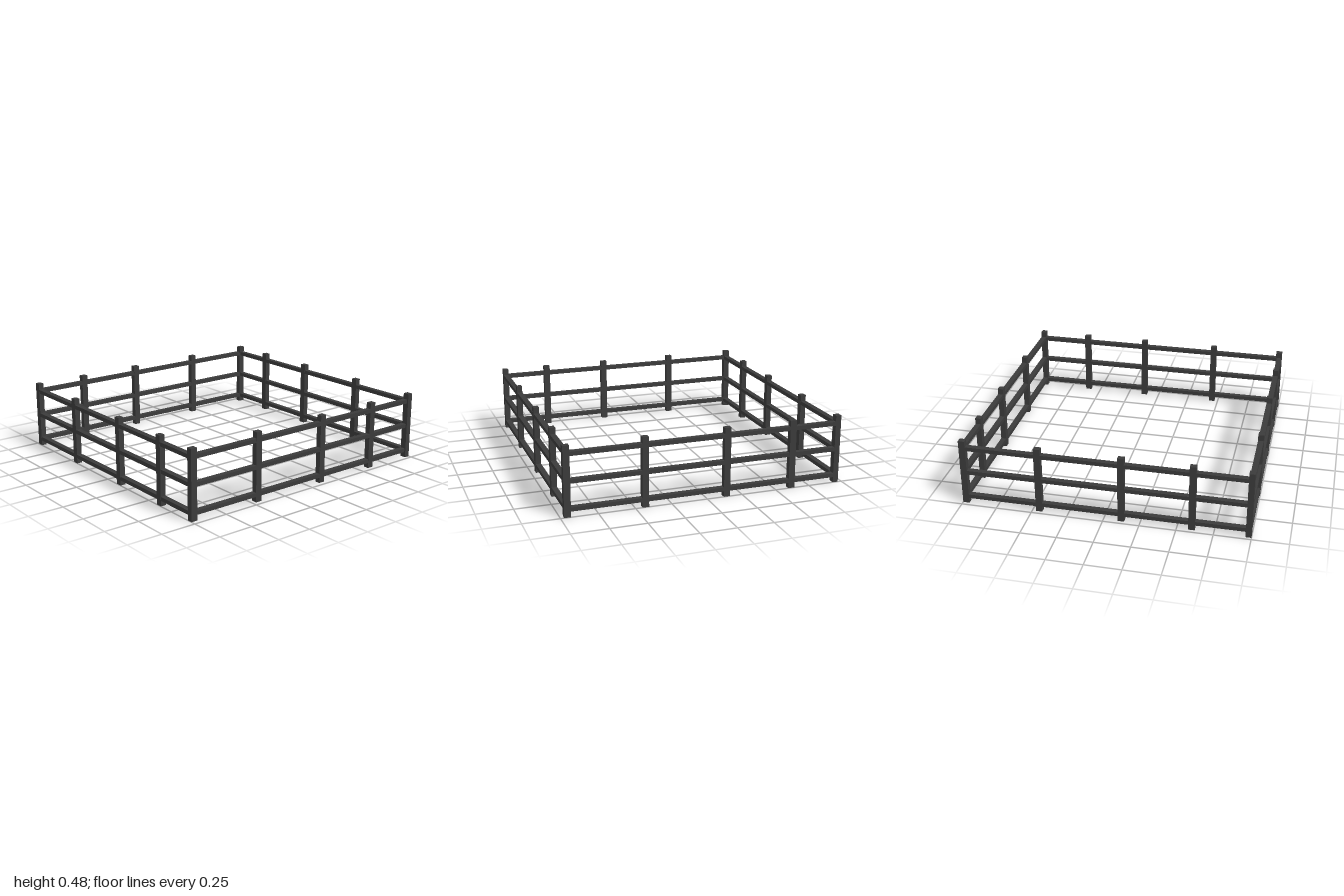
import * as THREE from 'three';

const POST_H = 0.482, POST_W = 0.045, DEPTH = 0.039;
const RAIL_H = 0.028, RAIL_LEVELS = [0.052, 0.241, 0.425];

export function createModel() {
  const model = new THREE.Group();
  const material = new THREE.MeshStandardMaterial({ color: 0x3b3b3b });

  const addBox = (parent, name, size, position) => {
    const mesh = new THREE.Mesh(new THREE.BoxGeometry(...size), material);
    mesh.name = name;
    mesh.position.set(...position);
    parent.add(mesh);
  };

  // One fence side: 'along' is the axis it runs on, 'offset' its place on the other axis.
  // Each side owns the corner post at one of its ends and meets its neighbour's at the other.
  const addSide = (name, along, offset, corner, posts, from, to) => {
    const side = new THREE.Group();
    side.name = name;
    const place = (part, length, height, depth, at, y) => along === 'x'
      ? addBox(side, part, [length, height, depth], [at, y, offset])
      : addBox(side, part, [depth, height, length], [offset, y, at]);

    place('cornerPost', POST_W, POST_H, DEPTH, corner, POST_H / 2);
    for (const at of posts) place('post', POST_W, POST_H, DEPTH, at, POST_H / 2);
    for (const y of RAIL_LEVELS) place('rail', to - from, RAIL_H, DEPTH - 0.001, (from + to) / 2, y);
    model.add(side);
  };

  addSide('frontFence', 'x', 0.98, -0.957, [-0.434, 0.136, 0.613], -0.95, 0.94);
  addSide('backFence', 'x', -0.98, 0.953, [-0.617, -0.141, 0.43], -0.95, 0.94);
  addSide('leftFence', 'z', 0.947, 0.977, [0.451, -0.119, -0.6], -0.97, 0.97);
  addSide('rightFence', 'z', -0.954, -0.977, [-0.452, 0.12, 0.6], -0.97, 0.97);

  return model;
}
